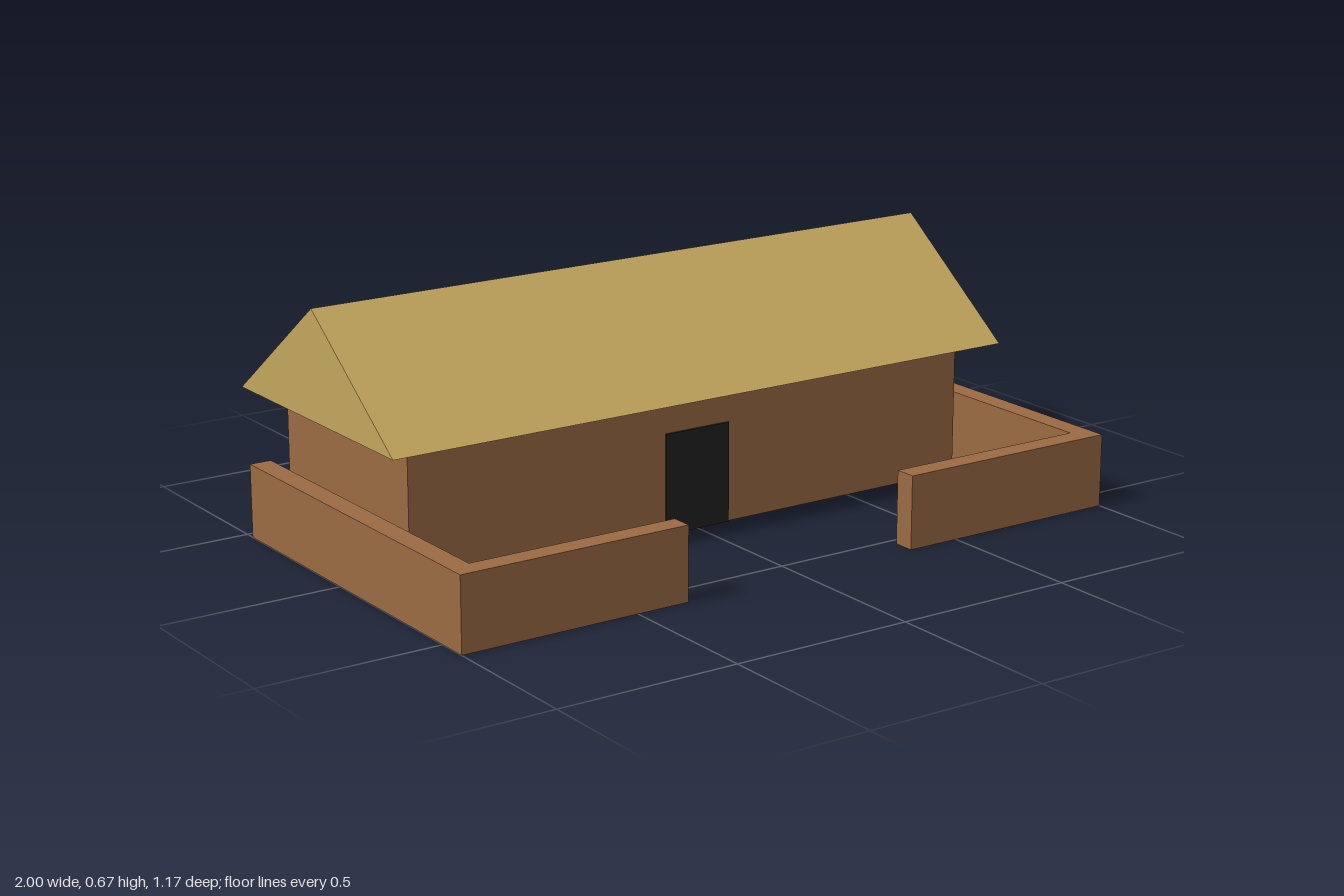
import * as THREE from 'three';

const mud = new THREE.MeshStandardMaterial({ color: 0x9b6b43 });
mud.name = 'mudBrown';
const thatch = new THREE.MeshStandardMaterial({ color: 0xc2a55d });
thatch.name = 'thatchStraw';
const dark = new THREE.MeshStandardMaterial({ color: 0x222222 });
dark.name = 'doorBlack';

// Box given by its minimum and maximum corners
function box(name, material, [x0, y0, z0], [x1, y1, z1]) {
  const geometry = new THREE.BoxGeometry(x1 - x0, y1 - y0, z1 - z0);
  const mesh = new THREE.Mesh(geometry, material);
  mesh.position.set((x0 + x1) / 2, (y0 + y1) / 2, (z0 + z1) / 2);
  mesh.name = name;
  return mesh;
}

// Triangular gable roof, extruded along x
function gableRoof() {
  const length = 1.914, halfSpan = 0.396, rise = 0.295;
  const gable = new THREE.Shape([
    new THREE.Vector2(-halfSpan, 0),
    new THREE.Vector2(halfSpan, 0),
    new THREE.Vector2(0, rise),
  ]);
  const geometry = new THREE.ExtrudeGeometry(gable, { depth: length, bevelEnabled: false });
  geometry.translate(0, 0, -length / 2).rotateY(Math.PI / 2);
  const roof = new THREE.Mesh(geometry, thatch);
  roof.position.set(0, 0.375, -0.189);
  roof.name = 'roof';
  return roof;
}

// L-shaped half of the low yard wall, on side s = -1 or 1
function yardWall(s) {
  const height = 0.2, thick = 0.06, front = 0.587, back = -0.47, gate = 0.35;
  const at = (x, z) => new THREE.Vector2(s * x, -z);
  const plan = new THREE.Shape([
    at(1, back), at(1 - thick, back), at(1 - thick, front - thick),
    at(gate, front - thick), at(gate, front), at(1, front),
  ]);
  const geometry = new THREE.ExtrudeGeometry(plan, { depth: height, bevelEnabled: false });
  geometry.rotateX(-Math.PI / 2);
  const wall = new THREE.Mesh(geometry, mud);
  wall.name = s > 0 ? 'leftYardWall' : 'rightYardWall';
  return wall;
}

export function createModel() {
  const model = new THREE.Group();
  model.name = 'thatchedHouse';
  model.add(
    box('house', mud, [-0.87, 0, -0.5], [0.87, 0.375, 0.123]),
    box('door', dark, [-0.1, 0, 0.121], [0.1, 0.275, 0.129]),
    gableRoof(),
    yardWall(-1),
    yardWall(1),
  );
  return model;
}
